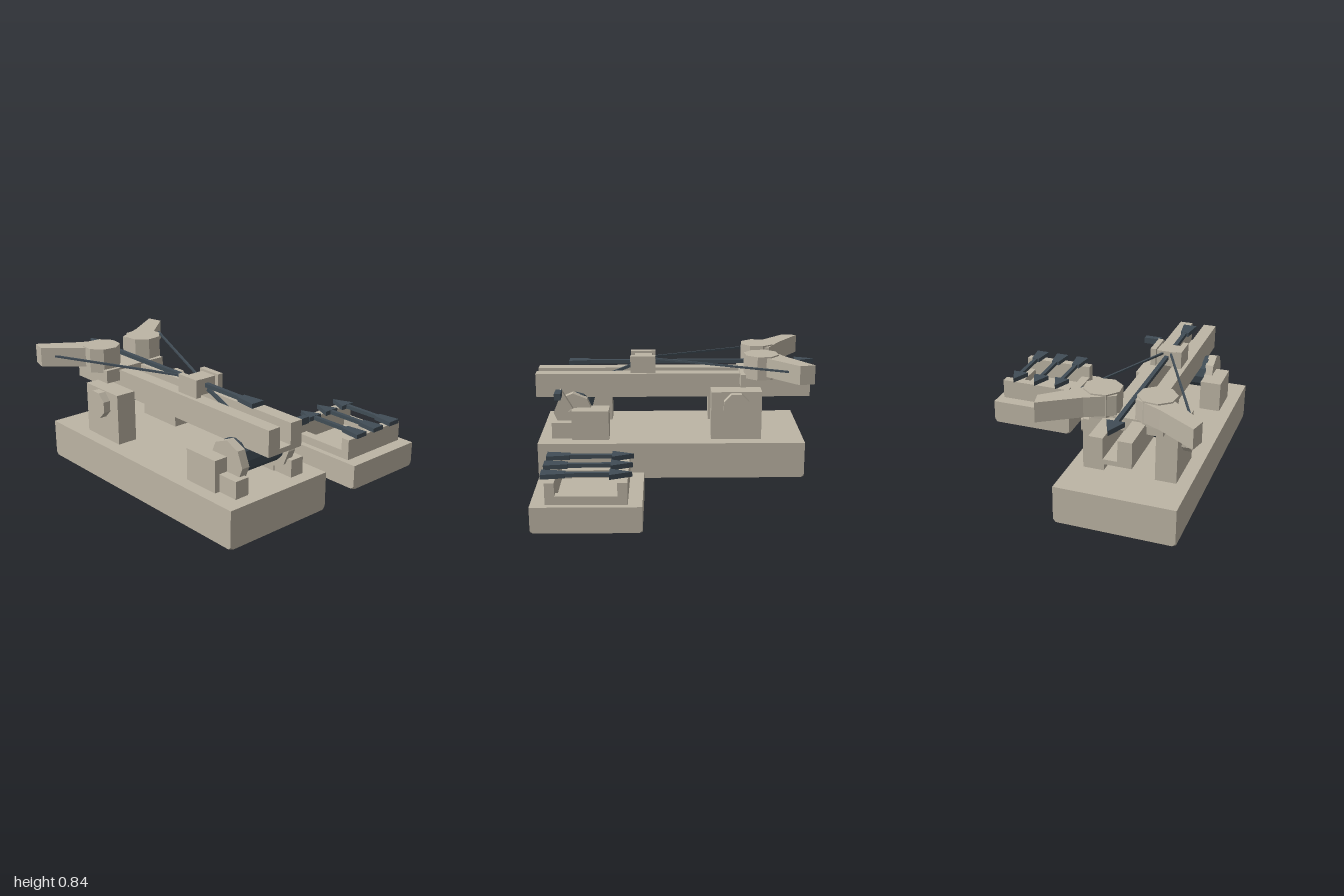
import * as THREE from 'three';
import { ConvexGeometry } from 'three/addons/geometries/ConvexGeometry.js';

const AXIS = -0.42; // centre line of the engine

export function createModel() {
  const root = new THREE.Group();
  root.name = 'boltThrower';
  const stone = new THREE.MeshStandardMaterial({ color: 0xbdb5a5 });
  stone.name = 'pale timber';
  const iron = new THREE.MeshStandardMaterial({ color: 0x414d56 });
  iron.name = 'dark iron';

  const add = (name, geo, mat = stone, parent = root) => {
    const g = geo.index ? geo.toNonIndexed() : geo;
    g.computeVertexNormals();
    const m = new THREE.Mesh(g, mat);
    m.name = name;
    parent.add(m);
    return m;
  };
  // box from min/max limits
  const box = (name, x0, x1, y0, y1, z0, z1, mat, parent) => add(name,
    new THREE.BoxGeometry(Math.abs(x1 - x0), y1 - y0, z1 - z0)
      .translate((x0 + x1) / 2, (y0 + y1) / 2, (z0 + z1) / 2), mat, parent);
  // cylinder lying along x
  const rod = (name, x0, x1, y, z, r, sides, turn, mat) => add(name,
    new THREE.CylinderGeometry(r, r, Math.abs(x1 - x0), sides)
      .rotateY(turn).rotateZ(Math.PI / 2).translate((x0 + x1) / 2, y, z), mat);
  // outline in x,z extruded downwards from the top
  const plan = (name, pts, y0, y1, mat, parent) => add(name,
    new THREE.ExtrudeGeometry(new THREE.Shape(pts.map(p => new THREE.Vector2(...p))),
      { depth: y1 - y0, bevelEnabled: false }).rotateX(Math.PI / 2).translate(0, y1, 0), mat, parent);
  // straight bar between two points
  const bar = (name, a, b, w, h, mat) => {
    const p = new THREE.Vector3(...a), q = new THREE.Vector3(...b);
    const m = add(name, new THREE.BoxGeometry(w, h, p.distanceTo(q)), mat);
    m.position.copy(p).add(q).multiplyScalar(0.5);
    m.lookAt(q);
    return m;
  };
  // block with clipped bottom corners
  const plinth = (name, x0, x1, y1, z0, z1) => {
    const c = 0.02, pts = [];
    for (const [x, sx] of [[x0, 1], [x1, -1]])
      for (const [z, sz] of [[z0, 1], [z1, -1]]) {
        pts.push(new THREE.Vector3(x, y1, z), new THREE.Vector3(x + sx * c, 0, z),
          new THREE.Vector3(x, 0, z + sz * c), new THREE.Vector3(x, c, z));
      }
    add(name, new ConvexGeometry(pts));
  };
  // bolt pointing to -z
  const bolt = (name, x, y, tip, tail) => {
    const g = new THREE.Group();
    g.name = name;
    root.add(g);
    box('boltShaft', x - 0.014, x + 0.014, y - 0.013, y + 0.013, tip + 0.1, tail - 0.1, iron, g);
    plan('boltHead', [[x, tip], [x + 0.058, tip + 0.14], [x - 0.058, tip + 0.14]],
      y - 0.016, y + 0.016, iron, g);
    plan('boltFletching', [[x - 0.028, tail - 0.15], [x + 0.028, tail - 0.15],
      [x + 0.048, tail], [x - 0.048, tail]], y - 0.015, y + 0.015, iron, g);
  };

  plinth('basePlinth', -0.82, -0.02, 0.255, -0.9, 0.97);

  // grooved stock
  box('stockFloor', -0.465, -0.375, 0.52, 0.552, -0.96, 1.0);
  box('stockRailRight', -0.555, -0.465, 0.52, 0.69, -0.96, 1.0);
  box('stockRailLeft', -0.375, -0.285, 0.52, 0.69, -0.96, 1.0);
  box('crossBeam', -0.66, -0.185, 0.615, 0.703, -0.69, -0.455);

  // pivot axle, winch drum and rope
  rod('pivotAxle', -0.6, -0.24, 0.505, -0.42, 0.043, 8, Math.PI / 8, iron);
  rod('winchDrum', -0.59, -0.25, 0.445, 0.715, 0.115, 12, 0, iron);
  bar('winchRope', [AXIS, 0.725, 0.31], [AXIS, 0.56, 0.72], 0.02, 0.02, iron);

  // paired parts on each side of the stock
  for (const s of [-1, 1]) {
    const X = d => AXIS + s * d;
    const tag = s > 0 ? 'Left' : 'Right';
    box('pivotPost' + tag, X(0.17), X(0.31), 0.255, 0.6, -0.6, -0.245);
    rod('pivotKnob' + tag, X(0.3), X(0.36), 0.505, -0.42, 0.095, 8, Math.PI / 8);

    box('winchBlock' + tag, X(0.17), X(0.315), 0.255, 0.465, 0.475, 0.735);
    box('winchFoot' + tag, X(0.18), X(0.28), 0.255, 0.37, 0.73, 0.88);
    rod('winchCheek' + tag, X(0.163), X(0.22), 0.43, 0.73, 0.14, 8, 0);

    // torsion hub and throwing arm
    const hub = new THREE.CylinderGeometry(0.125, 0.125, 0.165, 8).rotateY(Math.PI / 8 + s * 0.1);
    add('torsionHub' + tag, hub.translate(X(0.175), 0.762, -0.6));
    plan('throwingArm' + tag, [[0.487, -0.935], [0.512, -0.83], [0.28, -0.62], [0.2, -0.53],
      [0.08, -0.54], [0.06, -0.68], [0.24, -0.77]].map(([d, z]) => [X(d), z]), 0.703, 0.835);

    bar('bowString' + tag, [X(0.44), 0.777, -0.765], [X(0.025), 0.777, 0.18], 0.013, 0.013, iron);
    box('sledCheek' + tag, X(0.07), X(0.108), 0.69, 0.81, 0.147, 0.325);
  }
  box('sledBlock', -0.49, -0.35, 0.69, 0.795, 0.17, 0.295);

  // crank
  rod('crankAxle', -0.21, -0.15, 0.43, 0.73, 0.035, 8, Math.PI / 8);
  bar('crankArm', [-0.185, 0.41, 0.725], [-0.185, 0.595, 0.832], 0.04, 0.05);
  box('crankHandle', -0.185, -0.062, 0.56, 0.604, 0.803, 0.848, iron);

  bolt('loadedBolt', AXIS, 0.75, -1.0, 0.765);

  // bolt rack
  plinth('rackPlinth', 0.325, 0.93, 0.17, 0.22, 0.908);
  for (const [z0, z1, n] of [[0.31, 0.372, 'Back'], [0.755, 0.815, 'Front']])
    box('rackBar' + n, 0.365, 0.89, 0.17, 0.312, z0, z1);
  for (const [x0, x1, n] of [[0.365, 0.43, 'Right'], [0.825, 0.89, 'Left']])
    box('rackRail' + n, x0, x1, 0.17, 0.225, 0.372, 0.755);
  [0.459, 0.627, 0.795].forEach((x, i) => bolt('spareBolt' + (i + 1), x, 0.333, 0.283, 0.845));

  return root;
}
